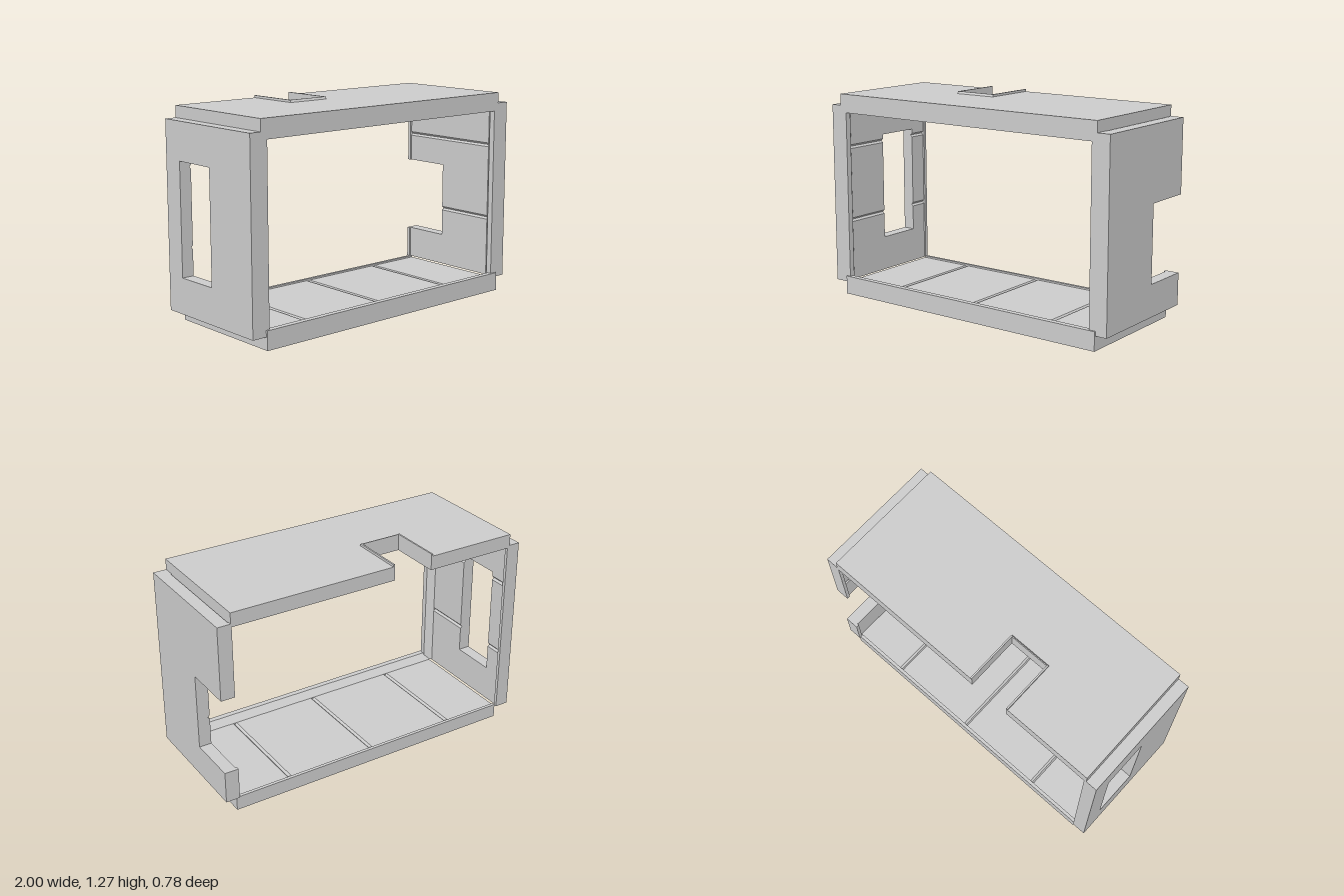
import * as THREE from 'three';

const material = new THREE.MeshStandardMaterial({ color: 0xcccccc, flatShading: true });
const PLATE = 0.075, LIP = 0.113, BACK_LIP = 0.085, GROOVE = 0.012;
const FRONT = 0.385, BACK = -0.39, BACK_INNER = -0.37;

function add(group, name, geometry) {
  const mesh = new THREE.Mesh(geometry, material);
  mesh.name = name;
  group.add(mesh);
  return mesh;
}

function extrude(points, depth) {
  const shape = new THREE.Shape(points.map(([x, y]) => new THREE.Vector2(x, y)));
  return new THREE.ExtrudeGeometry(shape, { depth, bevelEnabled: false });
}

// Piece of plate lying along x, inner face up, with V grooves at the seams
function plate(group, a, b, z0, z1, seams) {
  const points = [[a, 0], [b, 0], [b, PLATE]];
  for (const s of [...seams].sort((p, q) => q - p)) {
    if (s - GROOVE > a && s + GROOVE < b) {
      points.push([s + GROOVE, PLATE], [s, PLATE - GROOVE], [s - GROOVE, PLATE]);
    }
  }
  points.push([a, PLATE]);
  add(group, 'plate', extrude(points, z1 - z0)).position.z = z0;
}

// Panel with a thick chamfered front lip, a thin back lip and an optional opening
function panel(name, a, b, seams, opening) {
  const group = new THREE.Group();
  group.name = name;
  const lip = extrude([[FRONT, 0], [FRONT, LIP], [0.35, LIP], [0.31, PLATE], [0.31, 0]].map(([z, y]) => [-z, y]), b - a);
  lip.rotateY(Math.PI / 2);
  add(group, 'frontLip', lip).position.x = a;

  const backLip = (p, q) => add(group, 'backLip',
    new THREE.BoxGeometry(q - p, BACK_LIP, BACK_INNER - BACK)
      .translate((p + q) / 2, BACK_LIP / 2, (BACK_INNER + BACK) / 2));

  if (!opening) {
    plate(group, a, b, BACK_INNER, 0.31, seams);
    backLip(a, b);
    return group;
  }
  const { u0, u1, z0, z1 } = opening;
  plate(group, a, b, z1, 0.31, seams);
  const openAtBack = z0 <= BACK;
  const sideStart = openAtBack ? BACK_INNER : z0;
  plate(group, a, u0, sideStart, z1, seams);
  plate(group, u1, b, sideStart, z1, seams);
  if (openAtBack) {
    backLip(a, u0);
    backLip(u1, b);
  } else {
    plate(group, a, b, BACK_INNER, z0, seams);
    backLip(a, b);
  }
  return group;
}

export function createModel() {
  const model = new THREE.Group();
  model.name = 'openBoxFrame';

  const floor = panel('floor', -0.91, 0.93, [-0.55, 0.01, 0.57]);
  floor.position.z = 0.01;

  // Ceiling is turned over, so its x runs the other way
  const ceiling = panel('ceiling', -0.92, 0.93, [-0.56, 0, 0.56],
    { u0: 0.105, u1: 0.365, z0: BACK, z1: -0.06 });
  ceiling.rotation.z = Math.PI;
  ceiling.position.y = 1.255;

  // Side walls stand on end
  const leftWall = panel('leftWall', 0.085, 1.19, [0.457, 0.92],
    { u0: 0.28, u1: 0.745, z0: BACK, z1: -0.08 });
  leftWall.rotation.z = Math.PI / 2;
  leftWall.position.x = 1;

  const rightWall = panel('rightWall', -1.185, -0.075, [-0.92, -0.457],
    { u0: -0.96, u1: -0.29, z0: -0.26, z1: 0.02 });
  rightWall.rotation.z = -Math.PI / 2;
  rightWall.position.x = -1;

  // Thin raised rim lining the ceiling notch
  const rim = new THREE.Group();
  rim.name = 'notchRim';
  for (const x of [-0.365, -0.105]) {
    add(rim, 'rimSide', new THREE.BoxGeometry(0.01, 0.1, 0.332)).position.set(x, 1.219, -0.224);
  }
  const front = extrude([[0.065, 1.169], [0.065, 1.269], [0.06, 1.269], [0.052, 1.255], [0.052, 1.169]].reverse(), 0.27);
  front.rotateY(Math.PI / 2);
  add(rim, 'rimFront', front).position.x = -0.37;

  model.add(floor, ceiling, leftWall, rightWall, rim);
  return model;
}
